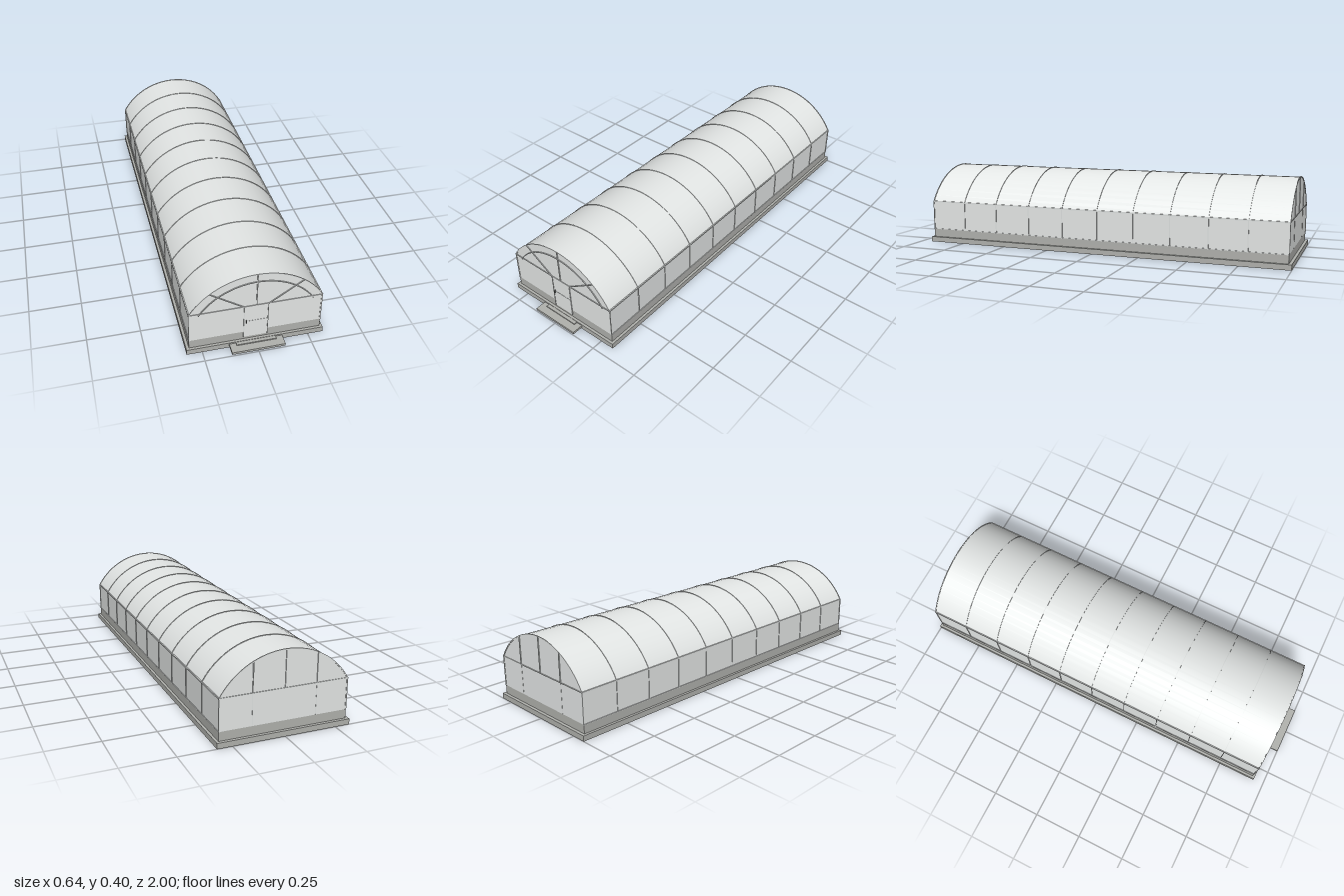
import * as THREE from 'three';

const mat = (name, color) => {
  const m = new THREE.MeshStandardMaterial({ color });
  m.name = name;
  return m;
};

export function createModel() {
  const glazing = mat('pale glazing', 0xe4e7e6);
  const concrete = mat('concrete', 0xb0b1ad);
  const frame = mat('light frame', 0xdcdfde);
  const dark = mat('dark metal', 0x5c5f5d);

  const root = new THREE.Group();
  root.name = 'tunnelGreenhouse';

  // Main dimensions
  const W = 0.307, zBack = -0.985, zFront = 0.932;
  const sill = 0.07, eave = 0.222, R = 0.3552, cy = 0.0433;
  const A = Math.asin(W / R), L = zFront - zBack, zMid = (zFront + zBack) / 2;
  const bays = 10, bar = 0.004, deep = 0.008;

  const add = (name, geo, material, x = 0, y = 0, z = 0, parent = root) => {
    const m = new THREE.Mesh(geo, material);
    m.name = name;
    m.position.set(x, y, z);
    parent.add(m);
    return m;
  };
  // Box given by its limits
  const box = (name, material, x0, x1, y0, y1, z0, z1, parent = root) =>
    add(name, new THREE.BoxGeometry(x1 - x0, y1 - y0, z1 - z0), material,
      (x0 + x1) / 2, (y0 + y1) / 2, (z0 + z1) / 2, parent);
  // Flat bar between two points of an end wall
  const strut = (name, x0, y0, x1, y1, z, parent) => {
    const m = add(name, new THREE.BoxGeometry(Math.hypot(x1 - x0, y1 - y0), bar, deep),
      frame, (x0 + x1) / 2, (y0 + y1) / 2, z, parent);
    m.rotation.z = Math.atan2(y1 - y0, x1 - x0);
  };
  // Curved bar concentric with the roof
  const archBar = (rIn, rOut, half, depth) => {
    const s = new THREE.Shape();
    s.absarc(0, 0, rOut, Math.PI / 2 - half, Math.PI / 2 + half, false);
    s.absarc(0, 0, rIn, Math.PI / 2 + half, Math.PI / 2 - half, true);
    return new THREE.ExtrudeGeometry(s, { depth, bevelEnabled: false, curveSegments: 20 })
      .translate(0, 0, -depth / 2);
  };
  const roofY = x => cy + Math.sqrt(R * R - x * x);

  // Foundation, entrance steps and low wall
  box('foundation', concrete, -0.322, 0.322, 0, 0.027, -1, 0.945);
  box('lowerStep', concrete, -0.125, 0.125, 0.008, 0.02, 0.945, 1);
  box('upperStep', concrete, -0.094, 0.094, 0.02, 0.025, 0.945, 0.962);
  box('lowWall', concrete, -0.309, 0.309, 0.027, sill, zBack, zFront);

  // Glazed walls and vaulted roof
  box('glazedWalls', glazing, -W, W, sill, eave, zBack, zFront);
  const vault = new THREE.CylinderGeometry(R, R, L, 20, 1, true, -A, 2 * A).rotateX(-Math.PI / 2);
  add('vaultedRoof', vault, glazing, 0, cy, zMid);
  const gableShape = new THREE.Shape();
  gableShape.absarc(0, 0, R, Math.PI / 2 - A, Math.PI / 2 + A, false);
  const gable = new THREE.ShapeGeometry(gableShape, 20);
  add('frontGable', gable, glazing, 0, cy, zFront);
  add('backGable', gable, glazing, 0, cy, zBack).rotation.y = Math.PI;

  // Roof ribs and wall mullions along the bays
  const ribs = new THREE.Group();
  ribs.name = 'ribs';
  root.add(ribs);
  const ribGeo = archBar(R - 0.003, R + 0.0025, A, bar);
  for (let i = 0; i <= bays; i++) {
    const z = zBack + (L * i) / bays;
    add('roofRib', ribGeo, frame, 0, cy, z, ribs);
    for (const s of [-1, 1])
      add('wallMullion', new THREE.BoxGeometry(0.006, eave - sill, bar), frame,
        s * W, (eave + sill) / 2, z, ribs);
  }

  // Eave and sill rails
  for (const s of [-1, 1]) {
    add('eaveRail', new THREE.BoxGeometry(0.007, 0.007, L + bar), frame, s * W, eave - 0.001, zMid);
    add('sillRail', new THREE.BoxGeometry(0.007, 0.003, L + bar), frame, s * W, sill, zMid);
  }
  for (const z of [zFront, zBack])
    box('endRail', frame, -0.31, 0.31, eave - 0.002, eave + 0.002, z - 0.003, z + 0.003);

  // Front end framing
  const front = new THREE.Group();
  front.name = 'frontFraming';
  root.add(front);
  strut('centreMullion', 0, eave, 0, roofY(0), zFront, front);
  for (const s of [-1, 1])
    strut('diagonalBar', s * 0.057, eave, s * 0.214, roofY(0.214), zFront, front);
  add('innerArch', archBar(0.3125, 0.3165, 1, deep), frame, 0, cy, zFront, front);

  // Door with jambs, rail and handle
  const door = new THREE.Group();
  door.name = 'door';
  root.add(door);
  box('doorLeaf', glazing, -0.054, 0.054, 0.04, eave - 0.002, zFront, zFront + 0.002, door);
  for (const s of [-1, 1])
    box('doorJamb', frame, s * 0.0555 - 0.0015, s * 0.0555 + 0.0015, 0.04, eave,
      zFront - 0.001, zFront + 0.004, door);
  box('doorRail', frame, -0.054, 0.054, 0.131, 0.135, zFront, zFront + 0.003, door);
  box('doorHandle', dark, -0.0465, -0.044, 0.125, 0.142, zFront + 0.002, zFront + 0.008, door);

  // Back end framing
  const back = new THREE.Group();
  back.name = 'backFraming';
  root.add(back);
  for (const x of [-0.154, 0, 0.154])
    strut('gableMullion', x, eave, x, roofY(x), zBack, back);
  for (const x of [-0.154, 0.154])
    box('wallMullion', frame, x - 0.001, x + 0.001, sill, eave, zBack - 0.001, zBack + 0.001, back);

  return root;
}
